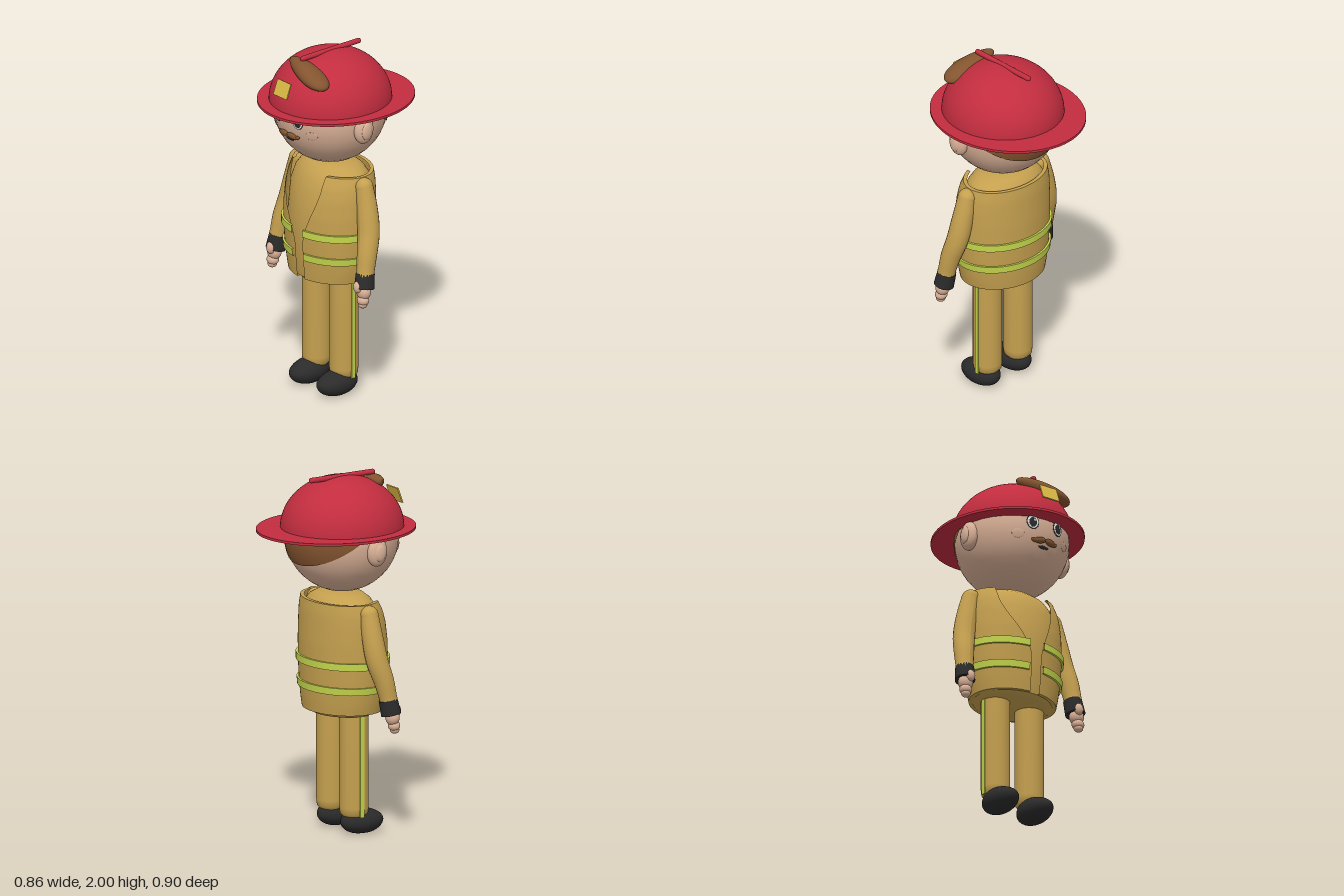
import * as THREE from 'three';
import { toCreasedNormals } from 'three/addons/utils/BufferGeometryUtils.js';

const mat = (name, color, side = THREE.FrontSide) => {
  const m = new THREE.MeshStandardMaterial({ color, side });
  m.name = name;
  return m;
};

export function createModel() {
  const root = new THREE.Group();
  root.name = 'firefighter';
  const red = mat('helmet red', 0xc22d3f);
  const skin = mat('skin', 0xdab197);
  const tan = mat('canvas tan', 0xc5a04f, THREE.DoubleSide);
  const lime = mat('reflective lime', 0xc5d64c, THREE.DoubleSide);
  const black = mat('black', 0x2b2b2b);
  const brown = mat('hair brown', 0x83542f);
  const gold = mat('badge gold', 0xdcba45);
  const white = mat('eye white', 0xf4f4f2);

  const add = (name, geo, material, parent = root) => {
    const m = new THREE.Mesh(geo, material);
    m.name = name;
    parent.add(m);
    return m;
  };
  const ball = (name, material, [x, y, z], [rx, ry, rz], parent = root) => {
    const m = add(name, new THREE.SphereGeometry(1, 32, 20), material, parent);
    m.position.set(x, y, z);
    m.scale.set(rx, ry, rz);
    return m;
  };

  // Elliptical shell from rows [y, rx, rz, zCentre], open in front between the two edges
  const shell = (rows, leftEdge, rightEdge, seg = 56) => {
    const pos = [], idx = [];
    for (const [y, rx, rz, zc] of rows) {
      const a0 = leftEdge ? Math.asin(leftEdge(y) / rx) : 0;
      const a1 = 2 * Math.PI - (rightEdge ? Math.asin(rightEdge(y) / rx) : 0);
      for (let i = 0; i <= seg; i++) {
        const a = a0 + (a1 - a0) * i / seg;
        pos.push(rx * Math.sin(a), y, zc + rz * Math.cos(a));
      }
    }
    for (let j = 0; j < rows.length - 1; j++) for (let i = 0; i < seg; i++) {
      const p = j * (seg + 1) + i, q = p + seg + 1;
      idx.push(p, p + 1, q + 1, p, q + 1, q);
    }
    const g = new THREE.BufferGeometry();
    g.setAttribute('position', new THREE.Float32BufferAttribute(pos, 3));
    g.setIndex(idx);
    return toCreasedNormals(g, 0.7);
  };
  // Linear lookup in a row profile
  const rowAt = (rows, y) => {
    let i = 0;
    while (i < rows.length - 2 && rows[i + 1][0] < y) i++;
    const t = (y - rows[i][0]) / (rows[i + 1][0] - rows[i][0]);
    return rows[i].map((v, k) => v + (rows[i + 1][k] - v) * t);
  };

  // Inner body with rounded shoulders
  add('innerBody', shell([[0.67, 0.001, 0.001, 0.043], [0.67, 0.2, 0.165, 0.043], [0.69, 0.23, 0.19, 0.043],
    [0.8, 0.255, 0.205, 0.045], [1.0, 0.262, 0.21, 0.045], [1.2, 0.255, 0.195, 0.035], [1.27, 0.24, 0.175, 0.025],
    [1.31, 0.21, 0.15, 0.025], [1.335, 0.16, 0.12, 0.025], [1.348, 0.09, 0.07, 0.025], [1.35, 0.001, 0.001, 0.025]]), tan);

  // Jacket, open along the front with curved lapels
  const jacket = [[0.69, 0.256, 0.208, 0.043], [0.75, 0.269, 0.214, 0.043], [0.85, 0.283, 0.221, 0.044],
    [0.96, 0.29, 0.226, 0.045], [1.08, 0.291, 0.224, 0.043], [1.18, 0.288, 0.215, 0.038],
    [1.25, 0.281, 0.205, 0.031], [1.31, 0.265, 0.187, 0.021]];
  const rows = [];
  for (let i = 0; i <= 24; i++) rows.push(rowAt(jacket, 0.69 + 0.62 * i / 24));
  const inset = ([y, rx, rz, zc], d) => [y, rx - d, rz - d, zc];
  rows.unshift(inset(rows[0], 0.025));
  rows.push(inset(rows[rows.length - 1], 0.022));
  const lapel = (w) => (y) => 0.03 + w * THREE.MathUtils.smoothstep(y, 0.88, 1.25);
  add('jacket', shell(rows, lapel(0.1), lapel(0.165)), tan);

  // Reflective bands around the jacket
  for (const y of [0.83, 0.97]) {
    const out = (yy, d) => inset(rowAt(jacket, yy), -d);
    const lo = y - 0.02, hi = y + 0.02;
    add('jacketBand', shell([out(lo, 0), out(lo, 0.012), out(hi, 0.012), out(hi, 0)], () => 0.043, () => 0.048), lime);
  }

  // Limbs
  for (const s of [1, -1]) {
    const arm = new THREE.Group();
    arm.name = s > 0 ? 'leftArm' : 'rightArm';
    root.add(arm);
    // Sleeve: tapered tube along a bent path
    const path = new THREE.CatmullRomCurve3([[0.278, 1.265, 0.035], [0.305, 1.15, 0.037], [0.335, 1.01, 0.05],
      [0.358, 0.89, 0.082], [0.371, 0.77, 0.107]].map(([x, y, z]) => new THREE.Vector3(s * x, y, z)));
    const sleeve = new THREE.TubeGeometry(path, 24, 1, 20);
    const p = sleeve.attributes.position, c = new THREE.Vector3(), v = new THREE.Vector3();
    for (let i = 0; i < p.count; i++) {
      const t = Math.floor(i / 21) / 24;
      path.getPointAt(t, c);
      v.fromBufferAttribute(p, i).sub(c).multiplyScalar(0.05 + 0.011 * Math.sin(Math.PI * Math.min(1, t * 1.1)));
      p.setXYZ(i, c.x + v.x, c.y + v.y, c.z + v.z);
    }
    sleeve.computeVertexNormals();
    add('sleeve', sleeve, tan, arm);
    ball('shoulder', tan, [s * 0.278, 1.262, 0.035], [0.05, 0.048, 0.051], arm);

    const cuff = add('cuff', new THREE.CylinderGeometry(0.052, 0.056, 0.085, 28), black, arm);
    cuff.position.set(s * 0.371, 0.752, 0.108);
    cuff.rotation.set(-0.18, 0, s * 0.1);
    ball('palm', skin, [s * 0.378, 0.692, 0.122], [0.043, 0.045, 0.038], arm);
    ball('fingers', skin, [s * 0.382, 0.645, 0.13], [0.036, 0.03, 0.033], arm);
    ball('fingertips', skin, [s * 0.383, 0.622, 0.133], [0.027, 0.022, 0.026], arm);
    ball('thumb', skin, [s * 0.368, 0.725, 0.158], [0.026, 0.034, 0.022], arm);

    const leg = new THREE.Group();
    leg.name = s > 0 ? 'leftLeg' : 'rightLeg';
    root.add(leg);
    const trouser = add('trouserLeg', new THREE.LatheGeometry([[0.001, 0.09], [0.06, 0.095], [0.077, 0.115],
      [0.081, 0.15], [0.081, 0.72]].map(([x, y]) => new THREE.Vector2(x, y)), 32), tan, leg);
    trouser.position.set(s * 0.115, 0, 0.042);
    const stripe = add('trouserStripe', new THREE.BoxGeometry(0.008, 0.6, 0.026), lime, leg);
    stripe.position.set(s * 0.195, 0.4, 0.042);

    // Boot: rounded, with a flattened sole
    const g = new THREE.SphereGeometry(1, 32, 24), b = g.attributes.position;
    for (let i = 0; i < b.count; i++) {
      const y = b.getY(i), z = b.getZ(i);
      b.setXYZ(i, b.getX(i) * 0.083, Math.max(0, 0.066 + y * 0.073 - (y > 0 ? y * 0.014 * z : 0)), 0.092 + z * 0.13);
    }
    g.computeVertexNormals();
    add('boot', g, black, leg).position.x = s * 0.117;
  }

  // Head, ears and hair
  const hc = new THREE.Vector3(0, 1.66, 0.04), hr = 0.315;
  ball('head', skin, hc.toArray(), [hr, hr, hr]);
  for (const s of [1, -1]) {
    ball('ear', skin, [s * 0.31, 1.617, 0.065], [0.042, 0.083, 0.061]);
    ball('innerEar', skin, [s * 0.34, 1.615, 0.068], [0.018, 0.05, 0.035]);
  }
  const hair = add('backHair', new THREE.SphereGeometry(0.32, 48, 24, 0, Math.PI * 2, 0, 1.4), brown);
  hair.position.copy(hc);
  hair.rotation.x = -0.61;

  // Face details laid on the head surface
  const onFace = (name, material, x, y, rx, ry, lift = 0, depth = 0.004) => {
    const d = new THREE.Vector3(x, y - hc.y, Math.sqrt(hr * hr - x * x - (y - hc.y) ** 2)).normalize();
    const m = ball(name, material, hc.clone().addScaledVector(d, hr + lift).toArray(), [rx, ry, depth]);
    m.lookAt(m.position.clone().add(d));
    return m;
  };
  for (const s of [1, -1]) {
    const x = s * 0.083;
    onFace('eyeOutline', black, x, 1.662, 0.037, 0.043);
    onFace('eyeWhite', white, x, 1.662, 0.032, 0.038, 0.003);
    onFace('pupil', black, x, 1.66, 0.022, 0.029, 0.006);
    onFace('eyeGlint', white, x + 0.008, 1.671, 0.006, 0.008, 0.009);
    onFace('cheek', skin, s * 0.155, 1.59, 0.035, 0.025, 0, 0.003);
    onFace('moustache', brown, s * 0.034, 1.567, 0.036, 0.018, 0.006, 0.014).rotateZ(-s * 0.15);
    onFace('moustacheTip', brown, s * 0.065, 1.563, 0.02, 0.011, 0.004, 0.01).rotateZ(s * 0.3);
  }
  onFace('mouth', black, 0, 1.535, 0.034, 0.009);

  // Helmet
  const dome = add('helmetDome', new THREE.SphereGeometry(1, 64, 24, 0, Math.PI * 2, 0, Math.PI / 2), red);
  dome.position.set(0, 1.7, 0.04);
  dome.scale.set(0.33, 0.29, 0.345);
  const brim = add('helmetBrim', new THREE.CylinderGeometry(1, 1, 0.014, 72), red);
  brim.position.y = 1.7;
  brim.scale.set(0.405, 1, 0.452);
  const crest = add('helmetCrest', new THREE.CapsuleGeometry(0.015, 0.398, 8, 16), red);
  crest.rotation.x = Math.PI / 2;
  crest.position.set(0, 1.985, 0.039);
  const badge = add('helmetBadge', new THREE.BoxGeometry(0.112, 0.09, 0.008), gold);
  badge.position.set(0, 1.842, 0.384);
  badge.rotation.x = -0.36;

  // Front tuft of hair, drooping and widening toward its left end
  const tuft = new THREE.SphereGeometry(1, 36, 24), t = tuft.attributes.position;
  for (let i = 0; i < t.count; i++) {
    const u = t.getX(i);
    t.setXYZ(i, 0.055 + 0.165 * u, 1.915 - 0.035 * u + 0.05 * t.getY(i),
      0.245 + 0.015 * u + 0.08 * (0.85 + 0.25 * u) * t.getZ(i));
  }
  tuft.computeVertexNormals();
  add('hairTuft', tuft, brown);

  return root;
}
